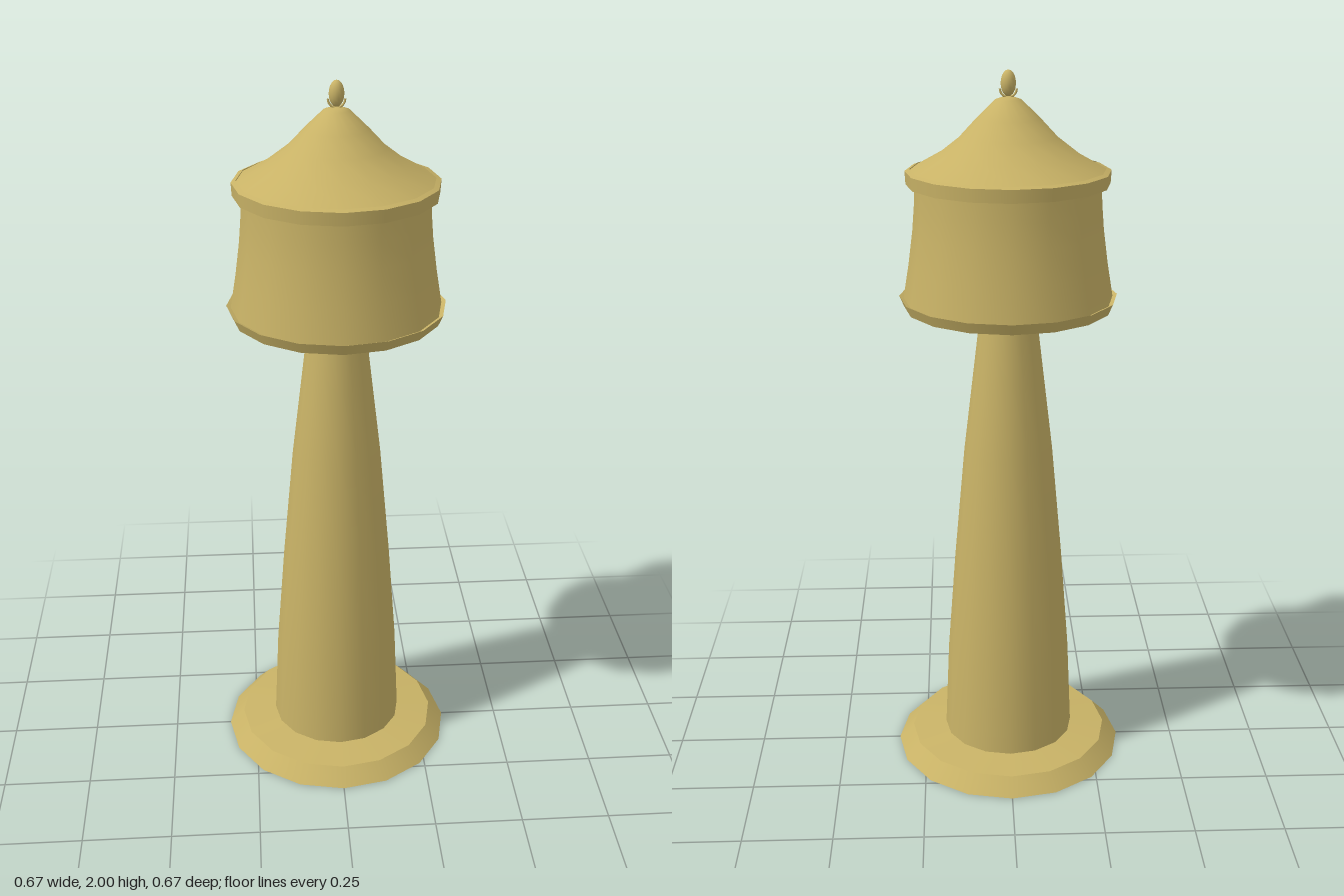
import * as THREE from 'three';

const SIDES = 16;

export function createModel() {
  const group = new THREE.Group();
  const mat = new THREE.MeshStandardMaterial({ color: 0xc8b266, side: THREE.DoubleSide });

  const add = (name, geometry) => {
    const mesh = new THREE.Mesh(geometry, mat);
    mesh.name = name;
    group.add(mesh);
    return mesh;
  };
  // Smooth surface of revolution from [radius, height] pairs
  const lathe = (name, pts, sides = SIDES) =>
    add(name, new THREE.LatheGeometry(pts.map(p => new THREE.Vector2(...p)), sides));
  // Same, but with a sharp edge at every profile point
  const stepped = (name, pts) => {
    for (let i = 0; i < pts.length - 1; i++) lathe(name, [pts[i], pts[i + 1]]);
  };

  // Flared foot, open underneath
  stepped('foot', [[0.333, 0], [0.29, 0.045], [0.19, 0.055]]);

  // Hollow tapering shaft
  lathe('shaft', [[0.19, 0.055], [0.178, 0.32], [0.155, 0.62], [0.125, 0.95], [0.1, 1.16], [0.075, 1.37]]);

  // Tank floor and its raised lip
  stepped('tankFloor', [[0, 1.365], [0.285, 1.37], [0.298, 1.4], [0.286, 1.395]]);

  // Tank wall, curving in towards the top
  lathe('tankWall', [[0.286, 1.395], [0.27, 1.49], [0.258, 1.58], [0.252, 1.65], [0.25, 1.705]]);

  // Eaves band under the roof
  stepped('eaves', [[0.25, 1.705], [0.273, 1.705], [0.275, 1.74], [0.262, 1.745]]);

  // Bell-shaped roof
  lathe('roof', [[0.262, 1.742], [0.19, 1.782], [0.13, 1.828], [0.085, 1.876], [0.035, 1.924], [0.018, 1.93], [0, 1.932]]);

  // Cradle hoop carrying the finial
  const hoop = add('finialCradle', new THREE.TorusGeometry(0.022, 0.003, 6, 12, Math.PI));
  hoop.rotation.z = Math.PI;
  hoop.position.y = 1.952;

  // Egg-shaped finial
  const finial = add('finial', new THREE.SphereGeometry(0.02, 14, 10));
  finial.scale.y = 1.7;
  finial.position.y = 1.966;

  return group;
}
